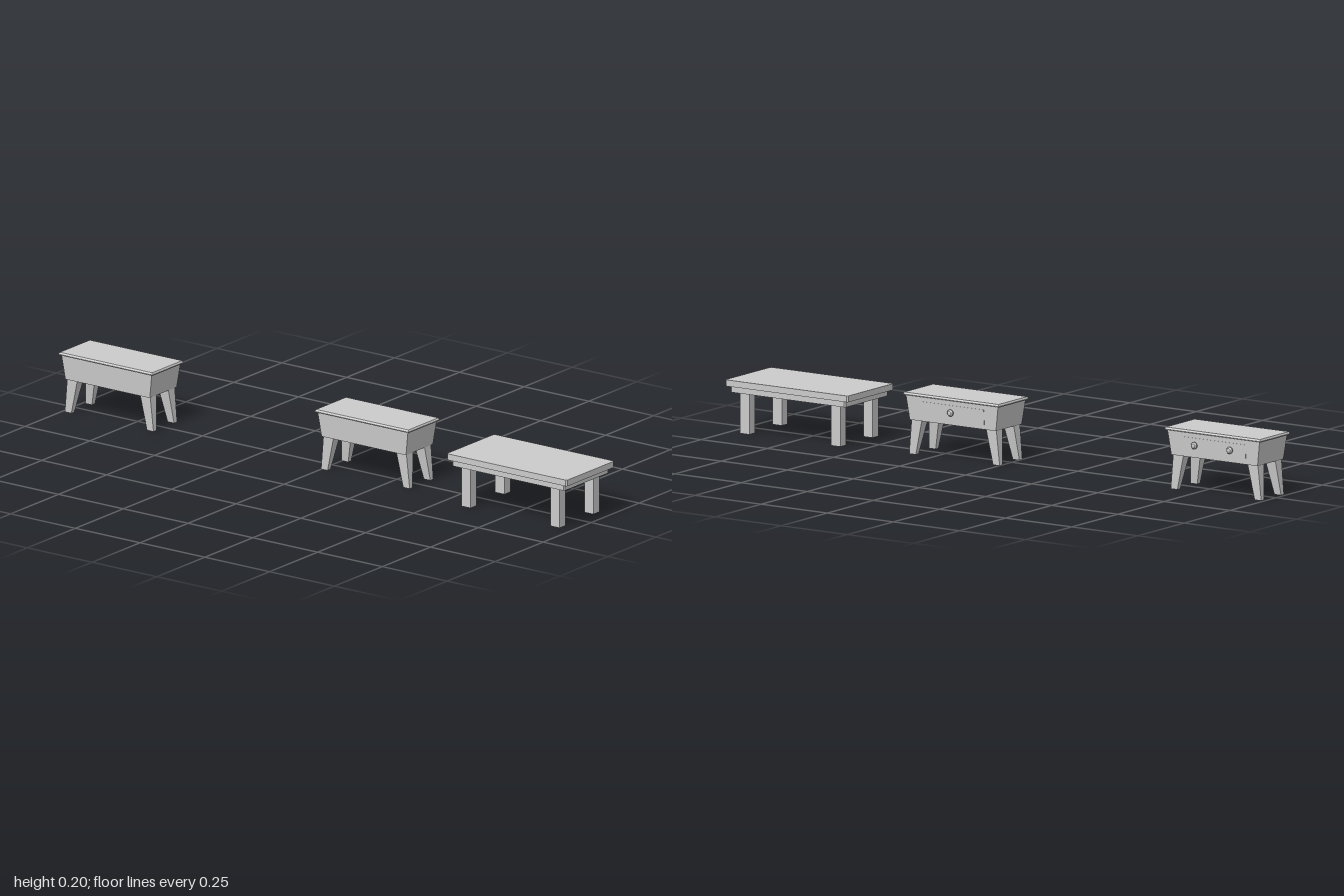
import * as THREE from 'three';

const material = new THREE.MeshStandardMaterial({ color: 0xcccccc, flatShading: true });

function addMesh(parent, name, geometry, x = 0, y = 0, z = 0) {
  const mesh = new THREE.Mesh(geometry, material);
  mesh.name = name;
  mesh.position.set(x, y, z);
  parent.add(mesh);
  return mesh;
}

// Box whose bottom and top rectangles differ: each is [x0, x1, z0, z1]
function taperedBox(y0, y1, bottom, top) {
  const geometry = new THREE.BoxGeometry(1, 1, 1);
  const p = geometry.attributes.position;
  for (let i = 0; i < p.count; i++) {
    const upper = p.getY(i) > 0;
    const r = upper ? top : bottom;
    p.setXYZ(i, p.getX(i) > 0 ? r[1] : r[0], upper ? y1 : y0, p.getZ(i) > 0 ? r[3] : r[2]);
  }
  geometry.computeVertexNormals();
  return geometry;
}

const rect = (hx, hz) => [-hx, hx, -hz, hz];

// Horizontal board with clipped vertical corners
function board(hx, hz, y0, y1, c) {
  const shape = new THREE.Shape([
    [hx, c - hz], [hx, hz - c], [hx - c, hz], [c - hx, hz],
    [-hx, hz - c], [-hx, c - hz], [c - hx, -hz], [hx - c, -hz],
  ].map(([x, y]) => new THREE.Vector2(x, y)));
  const geometry = new THREE.ExtrudeGeometry(shape, { depth: y1 - y0, bevelEnabled: false });
  return geometry.rotateX(-Math.PI / 2).translate(0, y0, 0);
}

function createTable() {
  const table = new THREE.Group();
  table.name = 'coffeeTable';
  addMesh(table, 'tableTop', board(0.124, 0.232, 0.151, 0.171, 0.004), 0, 0, 0);
  addMesh(table, 'tableApron', board(0.116, 0.217, 0.132, 0.151, 0.004));
  for (const sx of [-1, 1]) {
    for (const sz of [-1, 1]) {
      addMesh(table, 'tableLeg', new THREE.BoxGeometry(0.031, 0.13, 0.035), sx * 0.088, 0.068, sz * 0.172);
    }
  }
  return table;
}

// Side cabinet; its drawer faces +x and carries a knob at each given z offset
function createCabinet(knobOffsets) {
  const cabinet = new THREE.Group();
  cabinet.name = 'sideCabinet';

  // Top board with bevelled edge
  addMesh(cabinet, 'topEdge', taperedBox(0.189, 0.193, rect(0.079, 0.179), rect(0.0815, 0.181)));
  addMesh(cabinet, 'topBoard', taperedBox(0.193, 0.199, rect(0.0815, 0.181), rect(0.078, 0.178)));

  // Tapered body and drawer front
  addMesh(cabinet, 'body', taperedBox(0.112, 0.189, rect(0.07, 0.163), rect(0.075, 0.174)));
  addMesh(cabinet, 'drawerFront', taperedBox(0.121, 0.175, [0.06, 0.0715, -0.12, 0.12], [0.06, 0.075, -0.12, 0.12]));

  // Splayed, tapered legs
  const ordered = (s, a, b) => (s > 0 ? [a, b] : [-b, -a]);
  for (const sx of [-1, 1]) {
    for (const sz of [-1, 1]) {
      const foot = [...ordered(sx, 0.046, 0.0615), ...ordered(sz, 0.146, 0.171)];
      const head = [...ordered(sx, 0.03, 0.064), ...ordered(sz, 0.121, 0.16)];
      addMesh(cabinet, 'cabinetLeg', taperedBox(0.002, 0.114, foot, head));
    }
  }

  // Round knobs on short stems
  const profile = [[0, -0.002], [0.005, -0.002], [0.005, 0.006], [0.011, 0.01], [0.011, 0.014], [0.007, 0.018], [0, 0.019]]
    .map(([r, h]) => new THREE.Vector2(r, h));
  for (const z of knobOffsets) {
    addMesh(cabinet, 'knob', new THREE.LatheGeometry(profile, 12), 0.072, 0.153, z).rotation.z = -Math.PI / 2;
  }
  return cabinet;
}

export function createModel() {
  const model = new THREE.Group();
  model.name = 'furnitureSet';

  const table = createTable();
  table.position.set(-0.002, 0, 0.767);

  const middleCabinet = createCabinet([0]);
  middleCabinet.position.set(0.0055, 0, 0.17);

  const rearCabinet = createCabinet([-0.067, 0.067]);
  rearCabinet.position.set(0.0055, 0, -0.819);

  model.add(table, middleCabinet, rearCabinet);
  return model;
}
